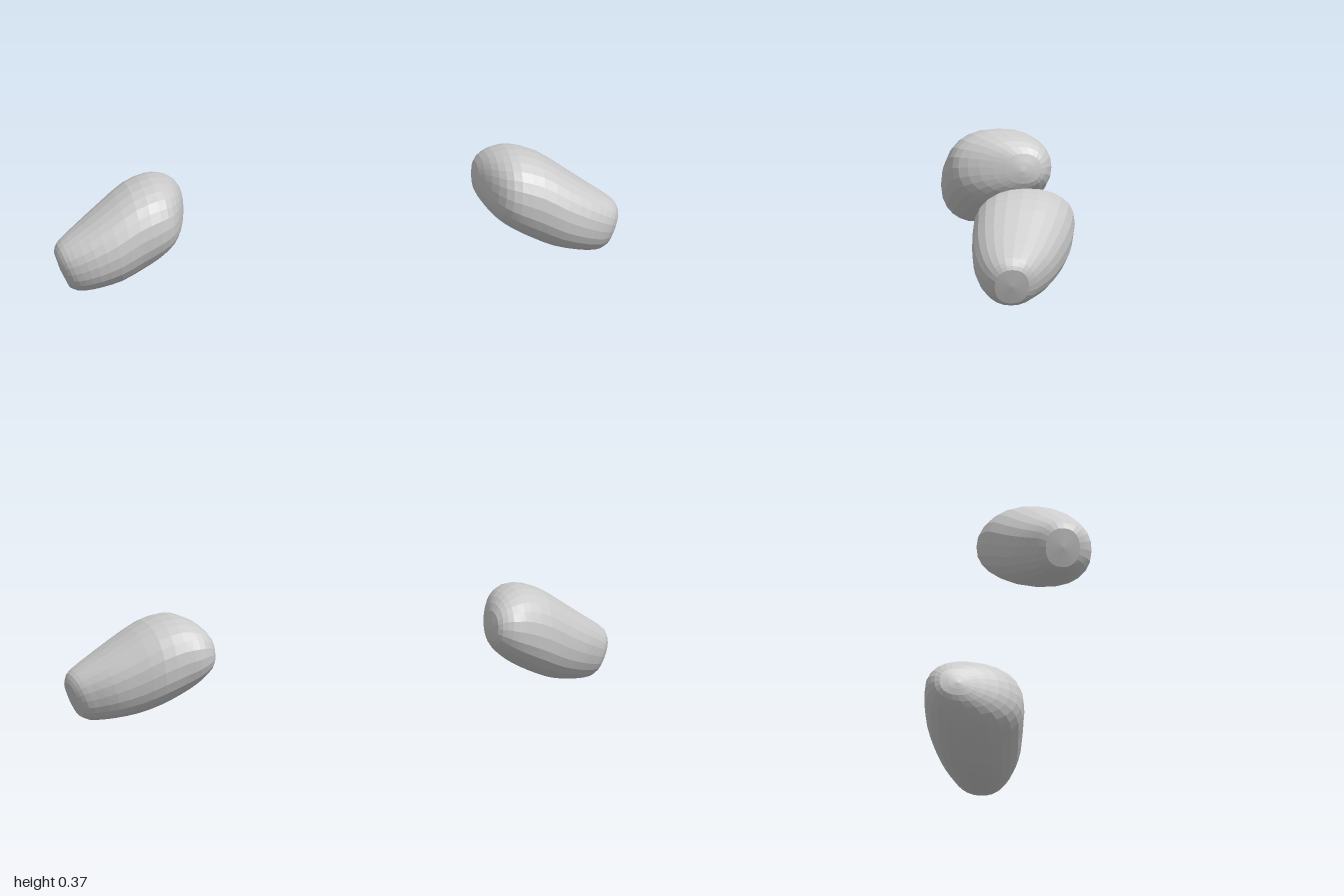
import * as THREE from 'three';

// Cross-sections from the inner end to the outer end:
// [top x, top y, bottom x, bottom y, back z, front z]
const SECTIONS = [
  [0.515, 0.235, 0.515, 0.235, -0.08, -0.08],
  [0.528, 0.295, 0.523, 0.19, -0.145, -0.02],
  [0.56, 0.335, 0.545, 0.155, -0.172, 0.07],
  [0.60, 0.356, 0.58, 0.12, -0.185, 0.14],
  [0.65, 0.365, 0.63, 0.085, -0.18, 0.17],
  [0.73, 0.343, 0.70, 0.048, -0.165, 0.18],
  [0.82, 0.285, 0.77, 0.02, -0.13, 0.185],
  [0.90, 0.23, 0.84, 0.006, -0.09, 0.177],
  [0.96, 0.19, 0.89, 0.0, -0.05, 0.16],
  [0.99, 0.165, 0.925, 0.001, -0.025, 0.142],
  [1.0, 0.138, 0.95, 0.012, 0.0, 0.12],
];
const SIDES = 24;
const STEPS = 20;

// Signed power that squares the round section off slightly
const soft = (v) => Math.sign(v) * Math.pow(Math.abs(v), 2 / 2.25);

function podGeometry(side) {
  const curve = (a, b) => new THREE.CatmullRomCurve3(
    SECTIONS.map((s) => new THREE.Vector3(s[a], s[b], 0)), false, 'catmullrom', 0.5);
  const top = curve(0, 1), bottom = curve(2, 3), depth = curve(4, 5);
  const positions = [];
  const index = [];

  // Tilted rings along the pod
  for (let i = 0; i <= STEPS; i++) {
    const t = i / STEPS;
    const a = top.getPoint(t), b = bottom.getPoint(t), d = depth.getPoint(t);
    for (let j = 0; j < SIDES; j++) {
      const angle = (j / SIDES) * Math.PI * 2;
      const h = (1 + soft(Math.sin(angle))) / 2;
      const w = (1 + soft(Math.cos(angle))) / 2;
      positions.push(
        side * THREE.MathUtils.lerp(b.x, a.x, h),
        THREE.MathUtils.lerp(b.y, a.y, h),
        THREE.MathUtils.lerp(d.x, d.y, w));
    }
  }
  // Centre of the flattened outer end
  const tip = positions.length / 3;
  positions.push(side * 0.981, 0.075, 0.06);

  const face = (a, b, c) => (side > 0 ? index.push(a, b, c) : index.push(a, c, b));
  for (let j = 0; j < SIDES; j++) {
    const k = (j + 1) % SIDES;
    for (let i = 0; i < STEPS; i++) {
      const r = i * SIDES, n = r + SIDES;
      if (i > 0) face(r + j, n + j, r + k);
      face(n + j, n + k, r + k);
    }
    face(STEPS * SIDES + j, tip, STEPS * SIDES + k);
  }

  const geometry = new THREE.BufferGeometry();
  geometry.setAttribute('position', new THREE.Float32BufferAttribute(positions, 3));
  geometry.setIndex(index);
  geometry.computeVertexNormals();
  return geometry;
}

export function createModel() {
  const group = new THREE.Group();
  const material = new THREE.MeshStandardMaterial({ color: 0xcccccc, flatShading: true });
  // Mirrored pair of pods
  for (const side of [1, -1]) {
    const pod = new THREE.Mesh(podGeometry(side), material);
    pod.name = side > 0 ? 'leftPod' : 'rightPod';
    group.add(pod);
  }
  return group;
}
